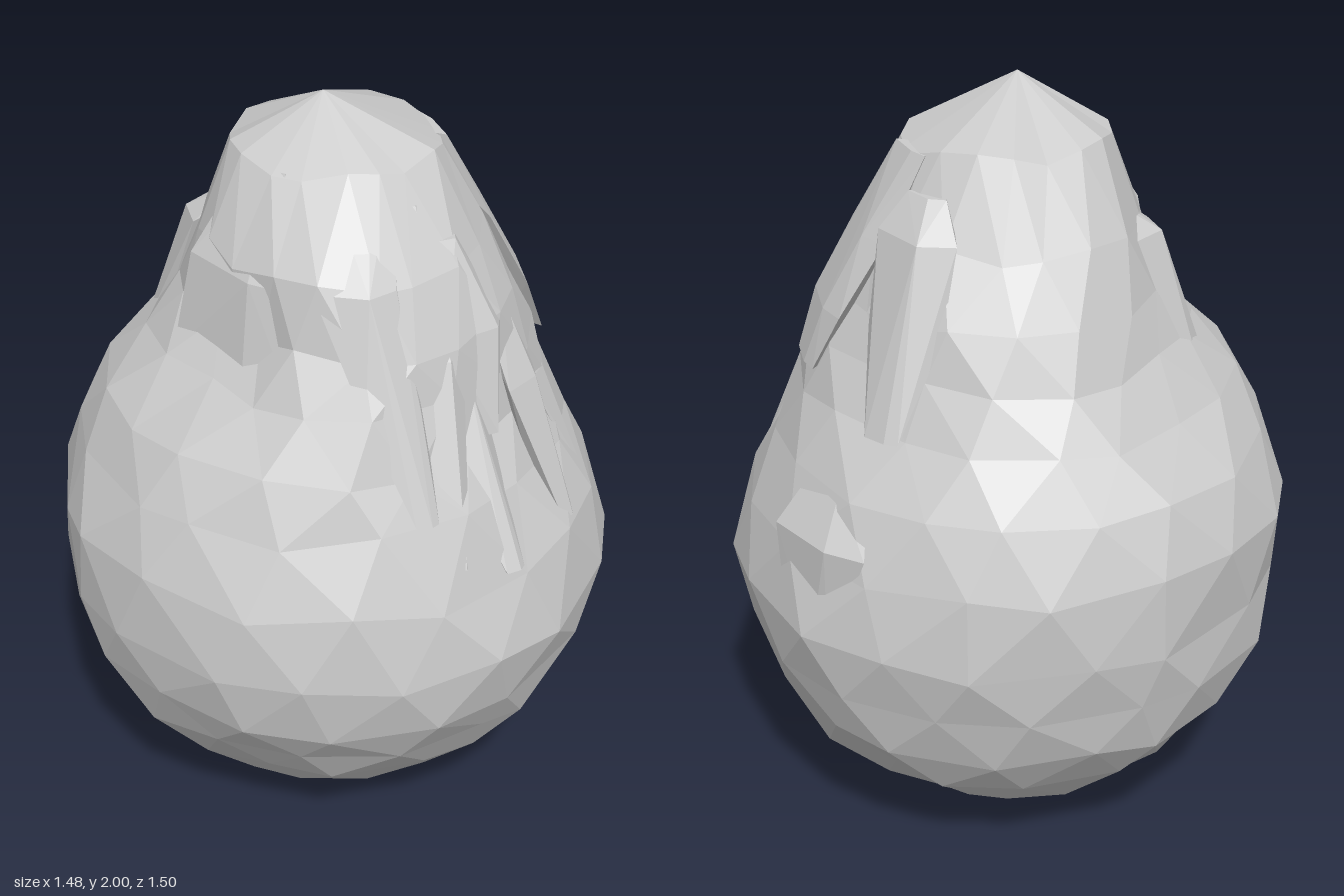
import * as THREE from 'three';
import { ConvexGeometry } from 'three/addons/geometries/ConvexGeometry.js';

const grey = new THREE.MeshStandardMaterial({ color: 0xcccccc, flatShading: true });

// small seeded random in -1..1
function seeded(seed) {
  let s = seed;
  return () => {
    s = (s * 16807) % 2147483647;
    return (s / 2147483647) * 2 - 1;
  };
}

// pear-shaped faceted body: y, xMin, xMax, zMin, zMax of each level
const levels = [
  [0.015, -0.2, 0.15, -0.17, 0.17],
  [0.08, -0.34, 0.35, -0.34, 0.34],
  [0.17, -0.48, 0.48, -0.48, 0.45],
  [0.28, -0.58, 0.58, -0.59, 0.56],
  [0.4, -0.665, 0.66, -0.68, 0.65],
  [0.54, -0.725, 0.71, -0.73, 0.725],
  [0.7, -0.735, 0.745, -0.755, 0.76],
  [0.9, -0.745, 0.69, -0.75, 0.73],
  [1.08, -0.68, 0.62, -0.69, 0.665],
  [1.22, -0.61, 0.56, -0.61, 0.61],
  [1.35, -0.5, 0.52, -0.53, 0.55],
  [1.48, -0.41, 0.46, -0.47, 0.49],
  [1.65, -0.35, 0.37, -0.38, 0.42],
  [1.86, -0.26, 0.27, -0.27, 0.23],
];

// hollows in the body: angle from +x towards +z, y, angular spread, height spread, depth
const hollows = [
  [0.75, 1.24, 0.4, 0.17, 0.07],
  [2.36, 1.43, 0.5, 0.18, 0.09],
  [-2.36, 1.27, 0.4, 0.12, 0.05],
  [-0.78, 1.33, 0.4, 0.16, 0.05],
  [-2.3, 1.63, 0.35, 0.12, -0.03],
];

function hollowDepth(a, y) {
  return hollows.reduce((sum, [ha, hy, sa, sy, depth]) => {
    const da = Math.atan2(Math.sin(a - ha), Math.cos(a - ha)) / sa, dy = (y - hy) / sy;
    return sum + depth * Math.exp(-da * da - dy * dy);
  }, 0);
}

function bodyGeometry() {
  const N = 18, rnd = seeded(41), pos = [], index = [];
  levels.forEach(([y, x0, x1, z0, z1], j) => {
    for (let i = 0; i < N; i++) {
      const a = ((i + (j % 2) / 2) / N) * Math.PI * 2 + rnd() * 0.07;
      const r = 0.998 + rnd() * 0.013, d = hollowDepth(a, y);
      pos.push(
        (x0 + x1) / 2 + (((x1 - x0) / 2) * r - d) * Math.cos(a),
        y + rnd() * (j === 0 ? 0.005 : 0.02),
        (z0 + z1) / 2 + (((z1 - z0) / 2) * r - d) * Math.sin(a));
    }
  });
  const bottom = pos.length / 3, top = bottom + 1, last = (levels.length - 1) * N;
  pos.push(-0.05, 0, 0.02, -0.03, 2, 0.03);
  for (let i = 0; i < N; i++) {
    const k = (i + 1) % N;
    index.push(bottom, i, k, top, last + k, last + i);
    for (let j = 0; j < levels.length - 1; j++) {
      const a = j * N + i, b = j * N + k, c = a + N, d = b + N;
      if (j % 2) index.push(a, d, b, a, c, d);
      else index.push(a, c, b, b, c, d);
    }
  }
  const g = new THREE.BufferGeometry();
  g.setAttribute('position', new THREE.Float32BufferAttribute(pos, 3));
  g.setIndex(index);
  const flat = g.toNonIndexed();
  flat.computeVertexNormals();
  return flat;
}

// angular fold hugging the body; stations are [x, y, z, halfWidth, height]
function fold(name, stations) {
  const pts = [];
  for (const [x, y, z, w, h] of stations) {
    const out = new THREE.Vector3(x, 0, z).normalize();
    const side = new THREE.Vector3(out.z, 0, -out.x);
    const c = new THREE.Vector3(x, y, z);
    pts.push(
      c.clone().addScaledVector(side, w),
      c.clone().addScaledVector(side, -w),
      c.clone().addScaledVector(side, w * 0.3).addScaledVector(out, h),
      c.clone().addScaledVector(out, -0.08));
  }
  const mesh = new THREE.Mesh(new ConvexGeometry(pts), grey);
  mesh.name = name;
  return mesh;
}

const folds = {
  // broad lumps around the neck
  frontRightLump: [[-0.17, 1.85, 0.13, 0.07, 0.01], [-0.24, 1.62, 0.25, 0.17, 0.03], [-0.27, 1.35, 0.29, 0.2, 0.03]],
  frontRidge: [[0.05, 1.85, 0.19, 0.08, 0.01], [0.03, 1.64, 0.4, 0.1, 0.04], [0.12, 1.35, 0.51, 0.07, 0.02], [0.2, 1.1, 0.6, 0.03, 0.01]],
  sideKnob: [[-0.22, 1.7, -0.13, 0.07, 0.02], [-0.31, 1.62, -0.14, 0.12, 0.06], [-0.39, 1.4, -0.16, 0.09, 0.04], [-0.5, 1.22, -0.2, 0.04, 0]],
  backKnob: [[0.22, 1.77, -0.23, 0.06, 0.02], [0.25, 1.68, -0.28, 0.12, 0.05], [0.29, 1.45, -0.34, 0.11, 0.04], [0.36, 1.22, -0.45, 0.05, 0.01]],
  smallBackKnob: [[-0.03, 1.67, -0.33, 0.04, 0.03], [-0.03, 1.6, -0.37, 0.11, 0.03], [-0.06, 1.38, -0.48, 0.05, 0.01]],
  crownLump: [[0.25, 1.85, -0.1, 0.08, 0.01], [0.36, 1.64, -0.1, 0.12, 0.03], [0.47, 1.45, -0.1, 0.12, 0.02], [0.53, 1.3, -0.1, 0.08, 0.01]],
  // long pointed drips on the front left
  frontDrip: [[0.16, 1.78, 0.22, 0.05, 0.02], [0.22, 1.45, 0.39, 0.09, 0.04], [0.29, 0.97, 0.6, 0.02, 0.01]],
  upperDrip: [[0.24, 1.7, 0.23, 0.06, 0.04], [0.33, 1.48, 0.29, 0.11, 0.05], [0.36, 1.22, 0.36, 0.05, 0.03]],
  longDrip: [[0.28, 1.38, 0.34, 0.05, 0.03], [0.31, 1.22, 0.4, 0.08, 0.03], [0.43, 0.92, 0.54, 0.03, 0.01]],
  sideDrip: [[0.37, 1.52, 0.18, 0.05, 0.03], [0.46, 1.3, 0.24, 0.08, 0.03], [0.59, 0.93, 0.32, 0.03, 0.01]],
  rearSideDrip: [[0.4, 1.46, 0.08, 0.05, 0.02], [0.51, 1.25, 0.11, 0.07, 0.02], [0.64, 0.95, 0.13, 0.02, 0.01]],
  // raised slab low on the back left
  sideSlab: [[0.46, 1.08, -0.38, 0.1, 0.03], [0.52, 0.95, -0.45, 0.16, 0.03], [0.56, 0.65, -0.43, 0.08, 0.01]],
};

export function createModel() {
  const group = new THREE.Group();
  const body = new THREE.Mesh(bodyGeometry(), grey);
  body.name = 'body';
  group.add(body);
  for (const [name, stations] of Object.entries(folds)) group.add(fold(name, stations));
  return group;
}
